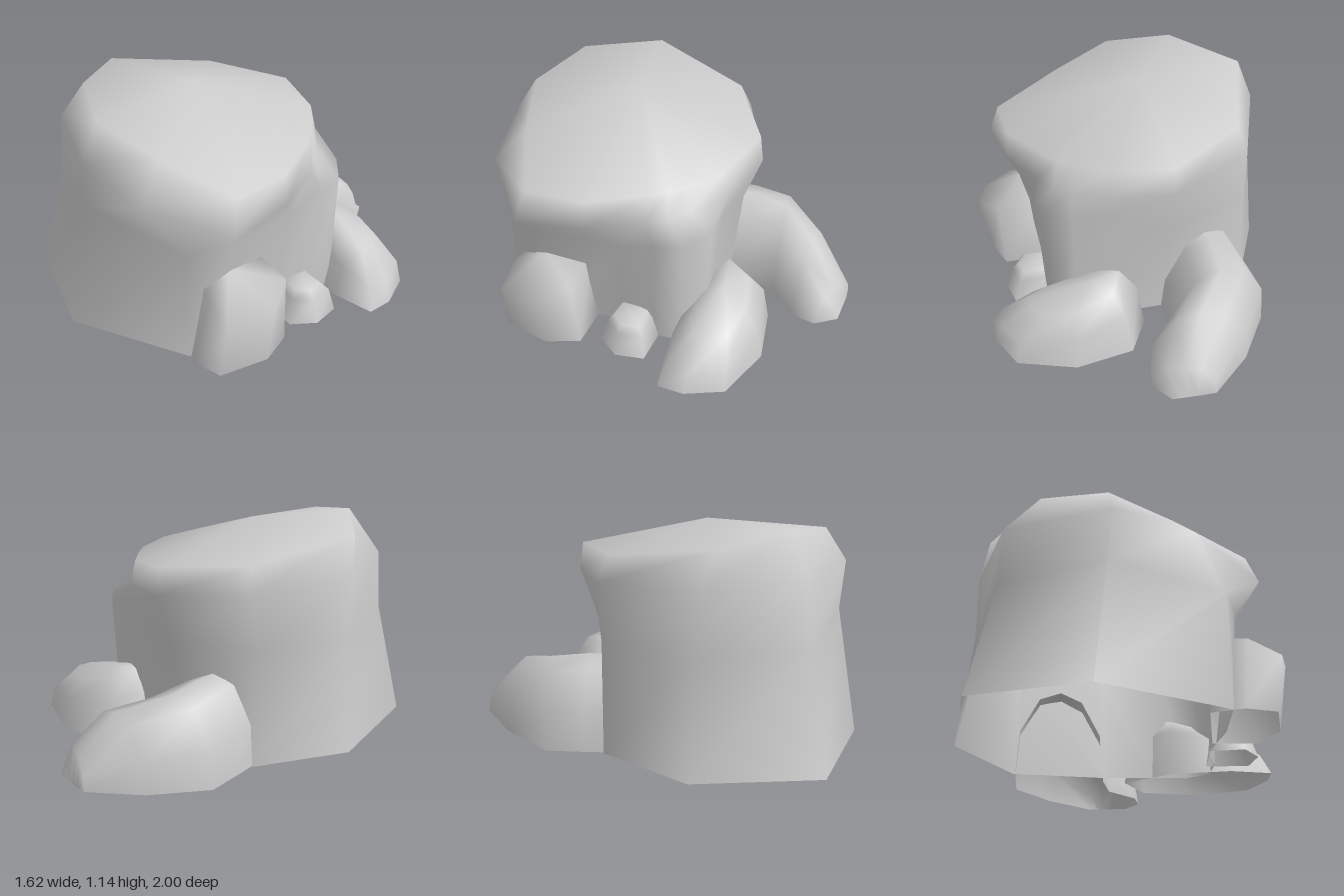
import * as THREE from 'three';

const material = new THREE.MeshStandardMaterial({ color: 0xcccccc, side: THREE.DoubleSide });

// Smooth skin over rows of [x, y, z] points; closed rows wrap round, a tip closes the last row
function loft(name, rows, { closed = true, tip = null } = {}) {
  const n = rows[0].length, index = [];
  const points = rows.flat();
  const steps = closed ? n : n - 1;
  for (let r = 0; r < rows.length - 1; r++) {
    for (let i = 0; i < steps; i++) {
      const a = r * n + i, b = r * n + (i + 1) % n;
      index.push(a, b, b + n, a, b + n, a + n);
    }
  }
  if (tip) {
    const last = (rows.length - 1) * n;
    for (let i = 0; i < steps; i++) index.push(last + i, last + (i + 1) % n, points.length);
    points.push(tip);
  }
  const geometry = new THREE.BufferGeometry();
  geometry.setAttribute('position', new THREE.Float32BufferAttribute(points.flat(), 3));
  geometry.setIndex(index);
  geometry.computeVertexNormals();
  const mesh = new THREE.Mesh(geometry, material);
  mesh.name = name;
  return mesh;
}

// Stone from columns of points, each listed from the ground upwards
function stone(name, columns, tip) {
  const rows = columns[0].map((_, r) => columns.map(c => c[r]));
  return loft(name, rows, { tip });
}

export function createModel() {
  const group = new THREE.Group();
  group.name = 'rockCluster';

  // Main boulder: ground, waist, shoulder, rim; the back left bulges below the shoulder
  group.add(stone('mainBoulder', [
    [[-.81, 0, .21], [-.75, .6, .22], [-.75, .92, .24], [-.69, 1.1, .32]],
    [[-.66, 0, .85], [-.56, .6, .75], [-.555, .92, .72], [-.39, 1.14, .66]],
    [[-.10, 0, 1.0], [-.05, .66, .88], [-.03, .91, .90], [-.05, 1.08, .79]],
    [[.50, 0, .69], [.50, .58, .69], [.36, .82, .83], [.27, .985, .68]],
    [[.50, 0, .40], [.56, .585, .50], [.68, .72, .55], [.63, .885, .50]],
    [[.44, 0, .10], [.51, .58, .08], [.63, .74, .20], [.61, .885, .20]],
    [[.49, 0, -.10], [.53, .65, -.13], [.50, .76, -.07], [.46, .9, -.08]],
    [[.48, 0, -.26], [.51, .67, -.26], [.43, .75, -.16], [.40, .905, -.15]],
    [[.36, 0, -.34], [.38, .69, -.37], [.35, .77, -.25], [.33, .91, -.22]],
    [[.18, 0, -.33], [.20, .69, -.37], [.20, .80, -.38], [.18, .93, -.36]],
    [[-.10, 0, -.33], [-.12, .57, -.38], [-.12, .83, -.47], [-.12, .97, -.45]],
    [[-.58, 0, -.25], [-.56, .6, -.25], [-.55, .88, -.27], [-.51, 1.01, -.22]],
  ], [-.11, 1.12, .2]));

  // Stone leaning on the left side: ground, edge
  group.add(stone('sideRock', [
    [[.40, 0, .65], [.42, .40, .58]],
    [[.55, 0, .70], [.59, .37, .64]],
    [[.70, 0, .66], [.74, .28, .65]],
    [[.75, 0, .41], [.80, .33, .41]],
    [[.68, 0, .24], [.70, .375, .26]],
    [[.45, 0, .235], [.45, .42, .26]],
  ], [.53, .44, .48]));

  // Small pebble
  group.add(stone('pebble', [
    [[.45, 0, .12], [.47, .13, .10], [.48, .165, .07]],
    [[.62, 0, .15], [.60, .13, .11], [.58, .165, .08]],
    [[.70, 0, .03], [.66, .12, .03], [.63, .155, .02]],
    [[.67, 0, -.12], [.64, .12, -.10], [.61, .155, -.07]],
    [[.45, 0, -.13], [.47, .13, -.10], [.48, .165, -.07]],
  ], [.54, .165, 0]));

  // Low wide stone behind, falling away to the left: ground, flank, top edge
  group.add(stone('backRock', [
    [[.28, 0, -.26], [.28, .25, -.28], [.28, .33, -.34]],
    [[.59, 0, -.21], [.58, .17, -.25], [.52, .26, -.33]],
    [[.81, 0, -.25], [.76, .11, -.28], [.62, .235, -.36]],
    [[.81, 0, -.39], [.77, .10, -.40], [.62, .24, -.44]],
    [[.72, 0, -.58], [.69, .12, -.57], [.56, .24, -.53]],
    [[.43, 0, -.68], [.42, .16, -.645], [.40, .26, -.57]],
    [[.13, 0, -.63], [.16, .21, -.60], [.21, .32, -.53]],
    [[.02, 0, -.43], [.06, .24, -.42], [.15, .35, -.40]],
  ], [.31, .33, -.43]));

  // Curved ridge behind, on the right: [left x, z, right x, z, height] stations
  const arch = [[0, 0], [.03, .5], [.25, .92], [.5, 1], [.75, .87], [.97, .43], [1, 0]];
  const stations = [
    [-.56, -.18, -.1, -.18, .44],
    [-.58, -.35, -.1, -.40, .44],
    [-.60, -.55, -.07, -.60, .41],
    [-.42, -.81, .08, -.75, .33],
    [-.20, -1, .10, -.88, .15],
    [-.15, -1, .02, -.99, 0],
  ];
  const ridge = stations.map(([lx, lz, rx, rz, h]) =>
    arch.map(([t, y]) => [lx + (rx - lx) * t, y * h, lz + (rz - lz) * t]).reverse());
  group.add(loft('backRidge', ridge, { closed: false }));

  return group;
}
